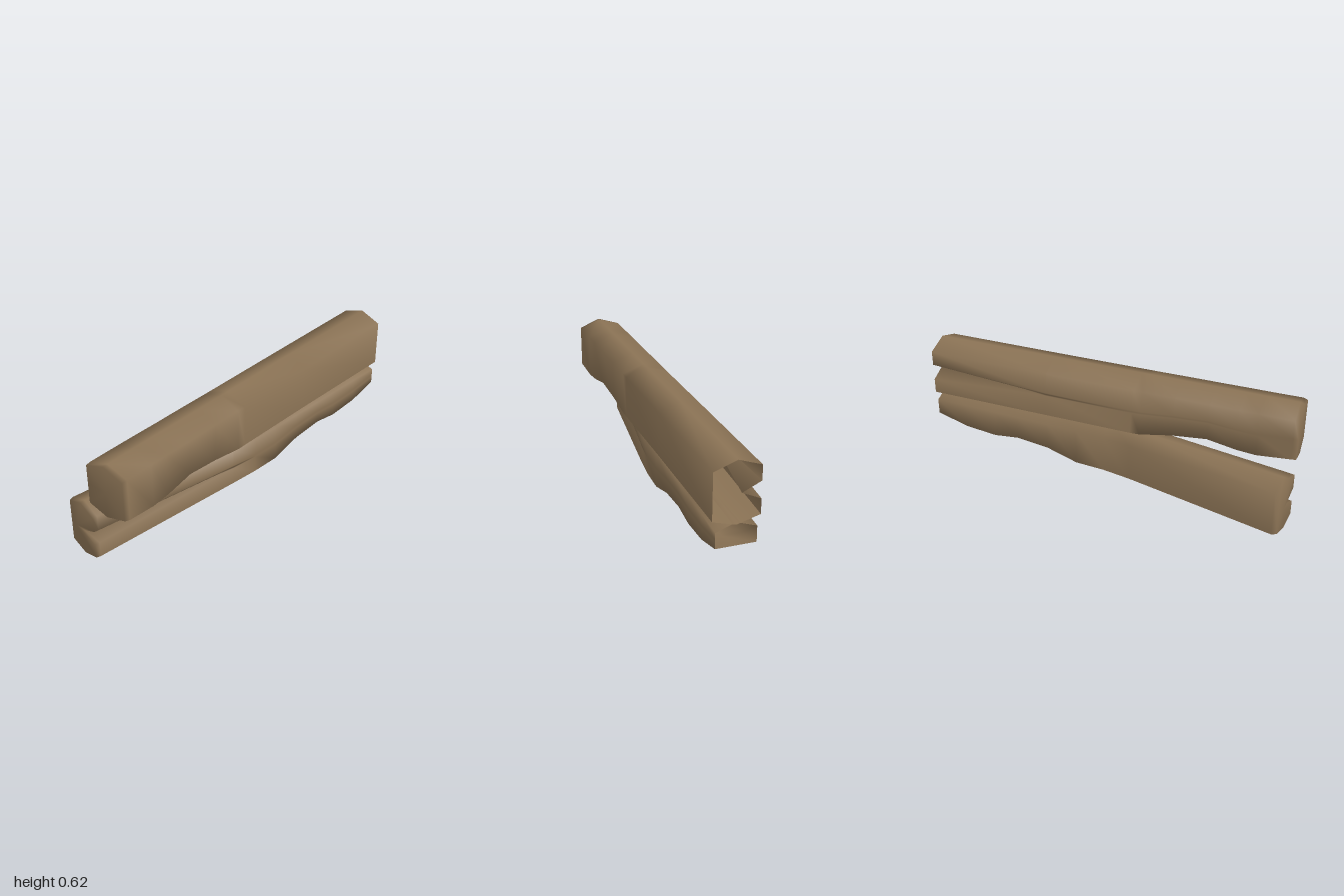
import * as THREE from 'three';

// Section: [x, zBack, zFront, zBackLow, top, shoulder, sideLow, bottom, groove depth, smooth underside]
const upperRows = [
  [-1.00, -0.02, 0.205, -0.02, 0.62, 0.58, 0.365, 0.335, 0, 1],
  [-0.975, -0.021, 0.211, -0.021, 0.625, 0.585, 0.362, 0.33, 0, 0],
  [-0.80, -0.029, 0.202, -0.035, 0.625, 0.585, 0.35, 0.33, 0, 1],
  [-0.70, -0.033, 0.198, -0.045, 0.625, 0.585, 0.362, 0.36, 0, 1],
  [-0.55, -0.039, 0.192, -0.06, 0.625, 0.584, 0.395, 0.395, 0, 1],
  [-0.37, -0.047, 0.184, -0.075, 0.625, 0.584, 0.38, 0.38, 0, 1],
  [-0.20, -0.054, 0.177, -0.095, 0.625, 0.583, 0.355, 0.335, 0, 1],
  [-0.15, -0.056, 0.175, -0.1, 0.625, 0.583, 0.355, 0.32, 0, 0],
  [0.33, -0.077, 0.154, -0.104, 0.625, 0.583, 0.348, 0.312, 0, 0],
  [1.00, -0.105, 0.128, -0.105, 0.625, 0.583, 0.335, 0.302, 0.095, 0],
];
const lowerRows = [
  [-1.00, -0.205, -0.01, -0.205, 0.308, 0.27, 0.033, 0.005, 0.085, 1],
  [-0.975, -0.211, -0.008, -0.211, 0.312, 0.272, 0.028, 0, 0.083, 0],
  [-0.15, -0.108, 0.095, -0.108, 0.317, 0.28, 0.074, 0.046, 0, 0],
  [0.00, -0.094, 0.11, -0.094, 0.317, 0.28, 0.08, 0.053, 0, 0],
  [0.16, -0.09, 0.112, -0.09, 0.317, 0.28, 0.082, 0.054, 0, 1],
  [0.33, -0.09, 0.112, -0.09, 0.316, 0.28, 0.132, 0.13, 0, 1],
  [0.51, -0.09, 0.112, -0.09, 0.316, 0.28, 0.15, 0.15, 0, 1],
  [0.65, -0.09, 0.112, -0.09, 0.316, 0.28, 0.132, 0.132, 0, 1],
  [0.83, -0.09, 0.112, -0.09, 0.315, 0.28, 0.147, 0.147, 0, 1],
  [1.00, -0.09, 0.112, -0.09, 0.314, 0.278, 0.194, 0.194, 0, 1],
];

// Loop of nine [z, y] points: a six-sided log with a groove in one side
function section([, zb, zf, zbl, top, sh, low, bot, depth], side) {
  const mid = (zb + zf) / 2, cy = (sh + low) / 2;
  const h = Math.max(0.008, depth * 0.47);
  const gz = side < 0 ? (zb + zbl) / 2 : zf;
  const groove = [[gz, cy + h], [gz - side * depth, cy], [gz, cy - h]];
  return side < 0
    ? [[mid, top], [zb, sh], ...groove, [zbl, low], [mid, bot], [zf, low], [zf, sh]]
    : [[mid, top], [zb, sh], [zbl, low], [mid, bot], [zf, low], ...groove.reverse(), [zf, sh]];
}

// Skin over the sections, closed at the -x end and open at the other
function logGeometry(rows, side) {
  const loops = rows.map((r) => section(r, side));
  const n = 9, under = side < 0 ? [5, 6] : [2, 3];
  const pos = [], idx = [], ids = new Map();
  const vertex = (i, j, isUnder) => {
    j %= n;
    const key = `${i},${j},${isUnder && !rows[i][9]}`; // split normals along underside edges
    if (!ids.has(key)) {
      const [z, y] = loops[i][j];
      const lean = i < 2 ? Math.max(0, Math.abs(z) - 0.02) * 0.1 : 0; // slanted end cut
      ids.set(key, pos.length / 3);
      pos.push(rows[i][0] + lean, y, z);
    }
    return ids.get(key);
  };
  for (let i = 0; i < rows.length - 1; i++) {
    for (let j = 0; j < n; j++) {
      const u = under.includes(j);
      const a = vertex(i, j, u), b = vertex(i, j + 1, u);
      const c = vertex(i + 1, j, u), d = vertex(i + 1, j + 1, u);
      idx.push(a, c, b, b, c, d);
    }
  }
  // End cap as a fan
  const r = rows[0], centre = pos.length / 3;
  const cz = side < 0 ? (r[1] + r[2]) / 2 : r[1] * 0.75 + r[2] * 0.25;
  pos.push(r[0] + 0.008, (r[5] + r[6]) / 2, cz);
  for (let j = 0; j < n; j++) idx.push(centre, vertex(0, j, false), vertex(0, j + 1, false));

  const g = new THREE.BufferGeometry();
  g.setAttribute('position', new THREE.Float32BufferAttribute(pos, 3));
  g.setIndex(idx);
  g.computeVertexNormals();
  return g;
}

export function createModel() {
  const group = new THREE.Group();
  group.name = 'hollowLogs';
  const bark = new THREE.MeshStandardMaterial({ color: 0x8b7355, side: THREE.DoubleSide });
  bark.name = 'bark brown';

  const upper = new THREE.Mesh(logGeometry(upperRows, -1), bark);
  upper.name = 'upperLog';
  const lower = new THREE.Mesh(logGeometry(lowerRows, 1), bark);
  lower.name = 'lowerLog';
  group.add(upper, lower);
  return group;
}
